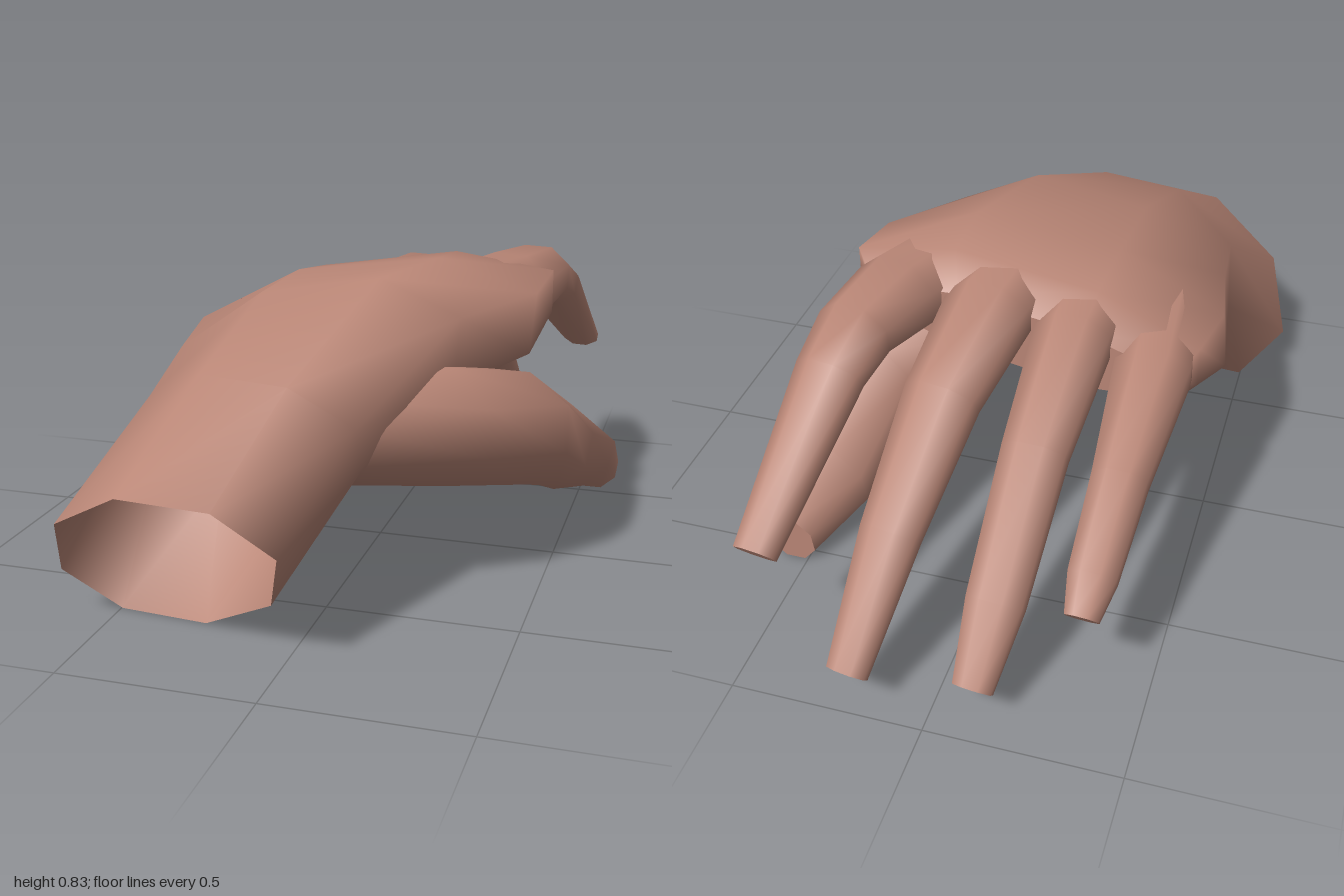
import * as THREE from 'three';

const SIDES = 8;
const FLAT = Math.cos(Math.PI / SIDES); // octagon corner-to-flat ratio
const skin = new THREE.MeshStandardMaterial({ color: 0xb98676, side: THREE.DoubleSide });
skin.name = 'skin';

// Skin over octagonal sections, each a centre plus a right and an up vector
function loft(name, sections) {
  const pos = [], index = [];
  const addRing = ([c, u, v]) => {
    for (let j = 0; j < SIDES; j++) {
      const a = ((j + 0.5) / SIDES) * Math.PI * 2;
      for (let k = 0; k < 3; k++) pos.push(c[k] + u[k] * Math.cos(a) + v[k] * Math.sin(a));
    }
  };
  sections.forEach(addRing);
  for (let i = 0; i < sections.length - 1; i++) {
    for (let j = 0; j < SIDES; j++) {
      const a = i * SIDES + j, b = i * SIDES + (j + 1) % SIDES;
      index.push(a, a + SIDES, b, b, a + SIDES, b + SIDES);
    }
  }
  // flat end with its own corners, so its rim stays sharp
  const last = sections[sections.length - 1], base = sections.length * SIDES;
  addRing(last);
  pos.push(...last[0]);
  for (let j = 0; j < SIDES; j++) index.push(base + SIDES, base + (j + 1) % SIDES, base + j);

  const geo = new THREE.BufferGeometry();
  geo.setAttribute('position', new THREE.Float32BufferAttribute(pos, 3));
  geo.setIndex(index);
  geo.computeVertexNormals();
  const mesh = new THREE.Mesh(geo, skin);
  mesh.name = name;
  return mesh;
}

// Finger along joints [x, y, z, half width, half thickness]
function finger(name, joints) {
  const p = joints.map(([x, y, z]) => new THREE.Vector3(x, y, z));
  const up = new THREE.Vector3(0, 1, 0);
  return loft(name, joints.map(([, , , w, h], i) => {
    const dir = p[Math.min(i + 1, p.length - 1)].clone().sub(p[Math.max(i - 1, 0)]).normalize();
    const right = dir.clone().cross(up).normalize();
    const top = right.clone().cross(dir);
    return [p[i].toArray(), right.multiplyScalar(w / FLAT).toArray(), top.multiplyScalar(h / FLAT).toArray()];
  }));
}

export function createModel() {
  const hand = new THREE.Group();
  hand.name = 'hand';

  // open wrist, back of the hand and palm, up to the knuckles
  hand.add(loft('wristAndPalm', [
    [[-0.295, 0.222, 0.825], [0.31, 0, 0.027], [0.09, 0.24, 0.18]],
    [[-0.17, 0.465, 0.54], [0.31, 0, 0.06], [0.03, 0.19, 0.14]],
    [[-0.1, 0.57, 0.27], [0.41, 0.07, 0], [0.03, 0.24, 0.03]],
    [[-0.04, 0.6, 0.05], [0.51, 0.07, 0], [0.02, 0.215, 0]],
    [[-0.01, 0.64, -0.13], [0.5, 0.08, 0], [0, 0.15, 0]],
    [[-0.02, 0.615, -0.21], [0.44, 0.08, 0], [0, 0.09, 0]],
  ]));

  // thumb, growing out of the side of the palm
  hand.add(loft('thumb', [
    [[0, 0.45, 0.49], [0.12, 0, 0.05], [0, 0.13, 0.03]],
    [[0.2, 0.45, 0.3], [0.2, 0, 0.05], [0, 0.17, 0]],
    [[0.36, 0.38, 0.09], [0.2, 0.03, 0.04], [0, 0.17, 0]],
    [[0.46, 0.29, -0.08], [0.13, 0, 0.02], [0.02, 0.13, 0]],
    [[0.505, 0.155, -0.35], [0.115, 0.03, 0], [0.02, 0.1, 0]],
    [[0.545, 0.065, -0.535], [0.07, 0, 0], [0.01, 0.07, 0]],
  ]));

  hand.add(finger('indexFinger', [
    [0.22, 0.69, 0.05, 0.11, 0.1],
    [0.32, 0.695, -0.2, 0.12, 0.1],
    [0.36, 0.7, -0.4, 0.098, 0.08],
    [0.38, 0.65, -0.52, 0.085, 0.068],
    [0.432, 0.385, -0.91, 0.055, 0.03],
  ]));
  hand.add(finger('middleFinger', [
    [0.03, 0.69, 0.05, 0.1, 0.1],
    [0.07, 0.69, -0.2, 0.115, 0.09],
    [0.115, 0.58, -0.45, 0.095, 0.075],
    [0.155, 0.37, -0.74, 0.075, 0.055],
    [0.192, 0.12, -0.98, 0.052, 0.028],
  ]));
  hand.add(finger('ringFinger', [
    [-0.17, 0.65, 0.05, 0.1, 0.1],
    [-0.155, 0.645, -0.2, 0.1, 0.085],
    [-0.14, 0.5, -0.5, 0.082, 0.065],
    [-0.125, 0.26, -0.79, 0.072, 0.05],
    [-0.11, 0.11, -0.935, 0.05, 0.026],
  ]));
  hand.add(finger('littleFinger', [
    [-0.35, 0.58, 0.05, 0.09, 0.1],
    [-0.365, 0.58, -0.2, 0.098, 0.08],
    [-0.355, 0.46, -0.5, 0.07, 0.06],
    [-0.345, 0.34, -0.72, 0.06, 0.045],
    [-0.34, 0.28, -0.8, 0.042, 0.028],
  ]));

  return hand;
}
